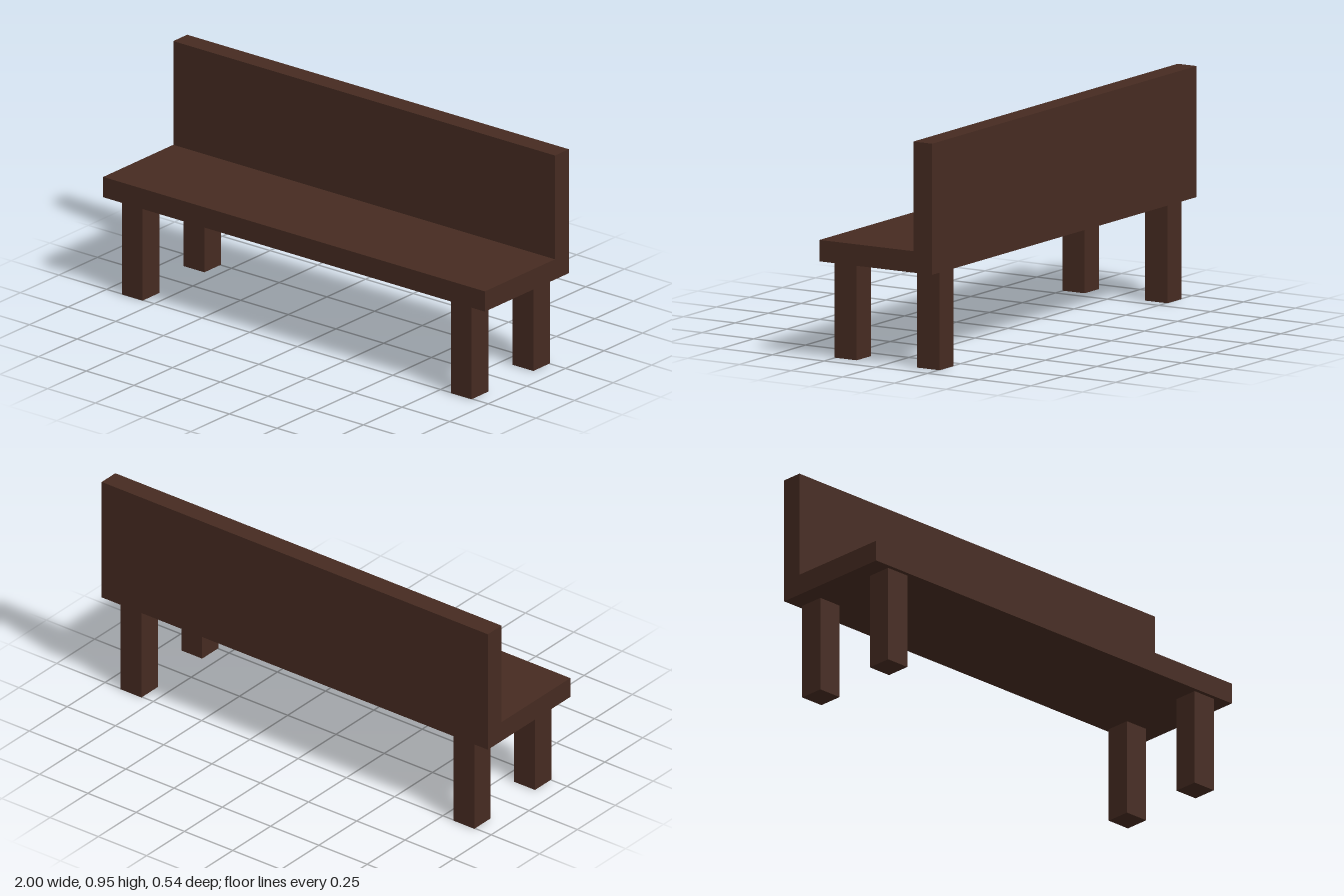
import * as THREE from 'three';

export function createModel() {
  const bench = new THREE.Group();
  bench.name = 'bench';

  const darkWood = new THREE.MeshStandardMaterial({ color: 0x462b21 });
  darkWood.name = 'darkWood';

  const length = 2, halfDepth = 0.272;
  const seatBottom = 0.411, seatTop = 0.5, backFront = -0.182, backTop = 0.955;

  // Seat and backrest: one L-shaped side profile (z, y) drawn out along the length
  const profile = new THREE.Shape([
    [-halfDepth, seatBottom], [halfDepth, seatBottom], [halfDepth, seatTop],
    [backFront, seatTop], [backFront, backTop], [-halfDepth, backTop],
  ].map(([z, y]) => new THREE.Vector2(z, y)));
  const bodyGeometry = new THREE.ExtrudeGeometry(profile, { depth: length, bevelEnabled: false });
  bodyGeometry.translate(0, 0, -length / 2).rotateY(-Math.PI / 2);
  const body = new THREE.Mesh(bodyGeometry, darkWood);
  body.name = 'seatAndBackrest';
  bench.add(body);

  // Four square legs, mirrored in x and z
  const legGeometry = new THREE.BoxGeometry(0.108, seatBottom, 0.108);
  for (const [side, x] of [['Left', 0.862], ['Right', -0.862]]) {
    for (const [end, z] of [['front', 0.2], ['back', -0.2]]) {
      const leg = new THREE.Mesh(legGeometry, darkWood);
      leg.name = `${end}${side}Leg`;
      leg.position.set(x, seatBottom / 2, z);
      bench.add(leg);
    }
  }

  return bench;
}
